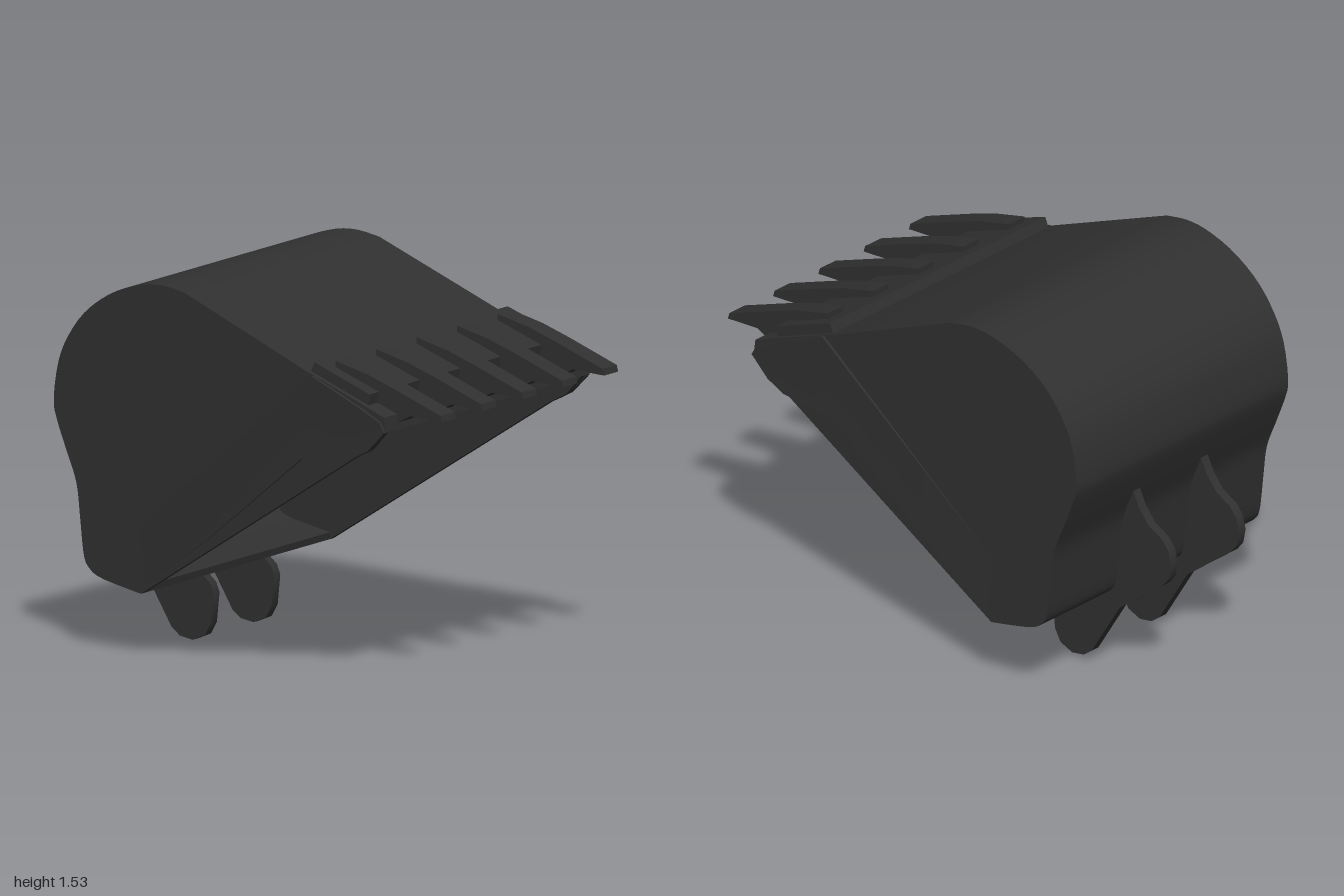
import * as THREE from 'three';
import { toCreasedNormals } from 'three/addons/utils/BufferGeometryUtils.js';

const steel = new THREE.MeshStandardMaterial({ color: 0x303030 });
steel.name = 'darkSteel';

const V = (list) => list.map(([x, y]) => new THREE.Vector2(x, y));

// Half width of the bucket, flaring towards the mouth
const halfWidth = (x) => 0.655 + 0.025 * x;

// Extrudes a side outline between two z limits that may vary with x
function slab(name, points, zBack, zFront) {
  const geo = new THREE.ExtrudeGeometry(new THREE.Shape(points), { depth: 1, bevelEnabled: false });
  const p = geo.attributes.position;
  for (let i = 0; i < p.count; i++) {
    const x = p.getX(i);
    p.setZ(i, THREE.MathUtils.lerp(zBack(x), zFront(x), p.getZ(i)));
  }
  const mesh = new THREE.Mesh(toCreasedNormals(geo, 0.5), steel);
  mesh.name = name;
  return mesh;
}

// Offsets an open polyline to its left by d
function offset(points, d) {
  return points.map((p, i) => {
    const a = points[Math.max(i - 1, 0)], b = points[Math.min(i + 1, points.length - 1)];
    const t = b.clone().sub(a).normalize();
    return new THREE.Vector2(p.x - t.y * d, p.y + t.x * d);
  });
}

export function createModel() {
  const model = new THREE.Group();
  model.name = 'excavatorBucket';
  const bucket = new THREE.Group();
  bucket.name = 'bucket';
  // slight lean of the whole bucket
  bucket.rotation.set(0.027, 0.008, 0);
  bucket.position.z = -0.016;
  model.add(bucket);

  // Curved back profile, from the top round to the lower mouth edge
  const curve = new THREE.SplineCurve(V([
    [-0.2, 1.497], [-0.31, 1.515], [-0.42, 1.505], [-0.56, 1.457], [-0.69, 1.37], [-0.78, 1.26],
    [-0.83, 1.15], [-0.855, 1.0], [-0.84, 0.92], [-0.795, 0.8], [-0.75, 0.68], [-0.735, 0.55],
    [-0.72, 0.4], [-0.695, 0.345], [-0.63, 0.308], [-0.44, 0.268],
  ])).getPoints(48);
  const profile = [...V([[0.7, 1.115], [0.41, 1.243]]), ...curve];

  // Wrapped shell plate
  const inner = offset(profile, 0.03);
  bucket.add(slab('shell', [...profile, ...inner.reverse()],
    (x) => -halfWidth(x) + 0.015, (x) => halfWidth(x) - 0.015));

  // Side walls and flared side cutters
  const wall = [...V([[0.78, 1.05], [0.75, 1.085]]), ...profile, ...V([[0.62, 0.925], [0.7, 0.965]])];
  const cutter = V([[-0.44, 0.54], [0.43, 1.235], [0.66, 1.135], [0.76, 1.085], [0.782, 1.045],
    [0.7, 0.965], [0.62, 0.925], [0.37, 0.897], [-0.1, 0.525], [-0.42, 0.3]]);
  const flare = (x) => halfWidth(x) + 0.014 * THREE.MathUtils.clamp((x + 0.44) / 0.9, 0, 1);
  const wallIn = (x) => halfWidth(x) - 0.03;
  const cutIn = (x) => halfWidth(x) - 0.004;
  bucket.add(
    slab('leftSideWall', wall, wallIn, halfWidth),
    slab('rightSideWall', wall, (x) => -halfWidth(x), (x) => -wallIn(x)),
    slab('leftSideCutter', cutter, cutIn, flare),
    slab('rightSideCutter', cutter, (x) => -flare(x), (x) => -cutIn(x)),
  );

  // Cutting lip with a thicker plate on top
  const lip = V([[0.41, 1.245], [0.66, 1.15], [0.775, 1.105], [0.782, 1.045], [0.75, 1.05], [0.42, 1.2]]);
  bucket.add(slab('cuttingLip', lip, (x) => -halfWidth(x) - 0.001, (x) => halfWidth(x) + 0.001));
  const lipTop = V([[0.4, 1.24], [0.42, 1.285], [0.69, 1.185], [0.68, 1.125]]);
  bucket.add(slab('lipPlate', lipTop, (x) => 0.02 - halfWidth(x), (x) => halfWidth(x) - 0.02));

  // Teeth
  const tooth = V([[0.48, 1.24], [0.48, 1.287], [0.63, 1.25], [0.76, 1.205], [0.985, 1.12],
    [0.992, 1.094], [0.84, 1.103], [0.77, 1.068], [0.66, 1.125]]);
  for (let i = -2; i <= 2; i++) {
    const z = i * 0.271;
    bucket.add(slab('tooth', tooth, () => z - 0.047, () => z + 0.047));
  }

  // Mounting ears; the inner edge is sunk into the shell plate
  const ear = V([[-0.795, 0.815], [-0.83, 0.745], [-0.88, 0.685], [-0.95, 0.648], [-0.985, 0.607],
    [-1.0, 0.55], [-0.99, 0.49], [-0.96, 0.45], [-0.74, 0.28], [-0.6, 0.045], [-0.56, 0.015],
    [-0.5, 0.005], [-0.44, 0.03], [-0.41, 0.08], [-0.395, 0.2], [-0.41, 0.24], [-0.45, 0.275],
    [-0.62, 0.315], [-0.685, 0.35], [-0.71, 0.4], [-0.725, 0.55], [-0.74, 0.68]]);
  for (const z of [-0.203, 0.203]) {
    bucket.add(slab('mountingEar', ear, () => z - 0.02, () => z + 0.02));
  }
  return model;
}
